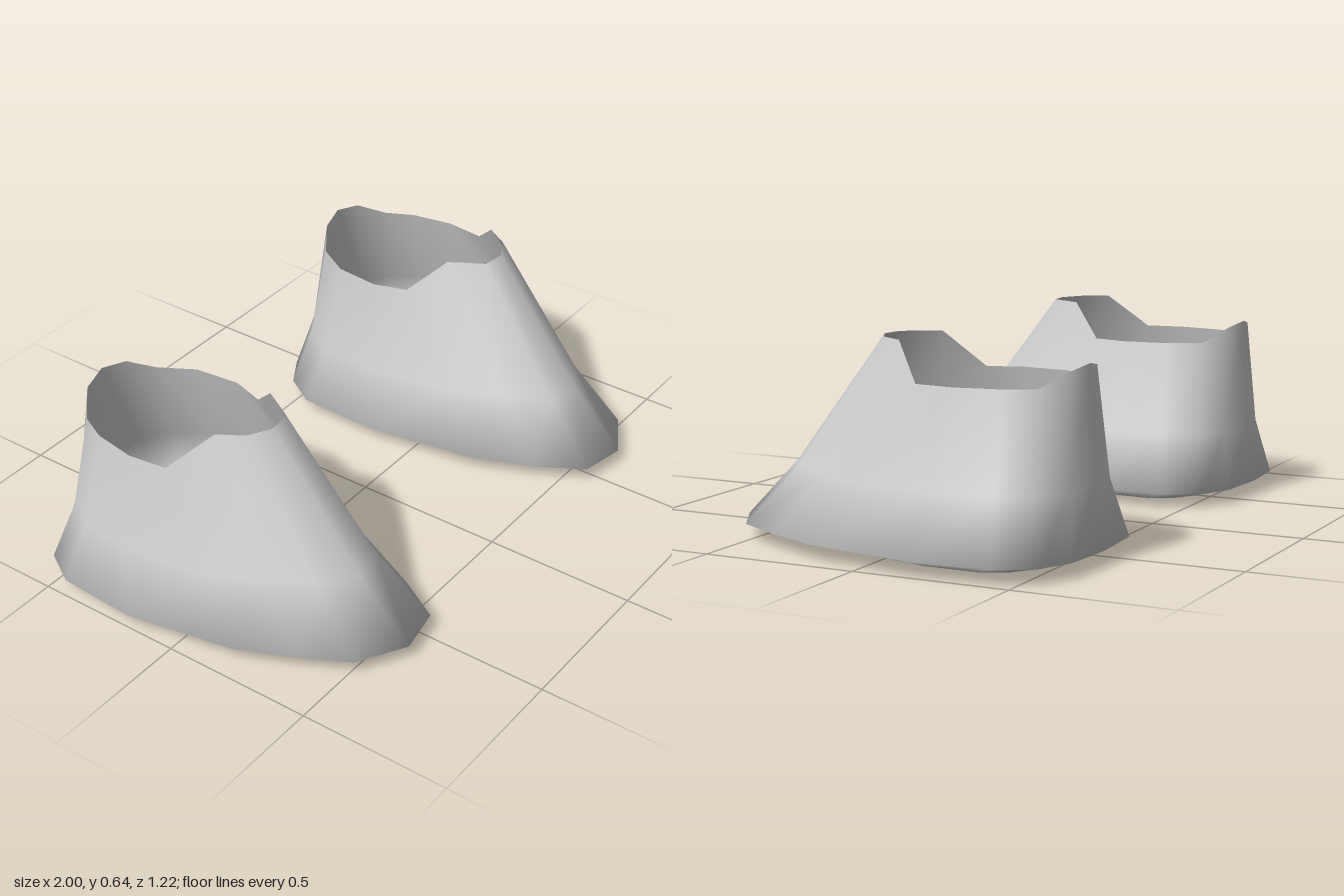
import * as THREE from 'three';

// Each row runs round the shoe from the toe: welt x, welt z, collar x, collar z, collar height
const OUTLINE = [
  [0, 0.605, 0, 0.11, 0.64],
  [0.155, 0.515, 0.075, 0.07, 0.64],
  [0.24, 0.36, 0.125, -0.01, 0.64],
  [0.32, 0.18, 0.225, -0.12, 0.53],
  [0.385, -0.17, 0.24, -0.25, 0.53],
  [0.37, -0.435, 0.215, -0.39, 0.53],
  [0.3, -0.55, 0.17, -0.48, 0.53],
  [0.19, -0.6, 0.09, -0.545, 0.575],
  [0, -0.615, 0, -0.565, 0.59],
  [-0.205, -0.6, -0.09, -0.545, 0.575],
  [-0.305, -0.54, -0.17, -0.49, 0.53],
  [-0.375, -0.43, -0.235, -0.38, 0.53],
  [-0.385, -0.15, -0.25, -0.23, 0.53],
  [-0.325, 0.225, -0.215, -0.12, 0.53],
  [-0.245, 0.42, -0.14, -0.01, 0.64],
  [-0.155, 0.575, -0.075, 0.1, 0.64],
];

// Cross-sections from the sole up to the collar
const SECTIONS = [
  ([x, z]) => [x * 0.65, 0.01 + z * 0.01, z * 0.65 - 0.05],
  ([x, z]) => [x, 0.05, z],
  ([x, z, cx, cz]) => [
    THREE.MathUtils.lerp(x, cx, 0.5),
    0.235,
    THREE.MathUtils.lerp(z, cz, z > 0 ? 0.37 : 0.7),
  ],
  ([, , cx, cz, h]) => [cx, h, cz],
];

function shoeGeometry(side) {
  const n = OUTLINE.length;
  // Reversing the mirrored outline keeps the faces pointing outward
  const outline = side > 0 ? OUTLINE : [...OUTLINE].reverse();
  const positions = [];
  const index = [];
  SECTIONS.forEach((section, s) => {
    outline.forEach((row, i) => {
      const [x, y, z] = section(row);
      positions.push(side * x, y, z);
      if (s === 0) return;
      const j = (i + 1) % n;
      const a = (s - 1) * n + i, b = (s - 1) * n + j;
      const c = s * n + j, d = s * n + i;
      index.push(a, b, c, a, c, d);
    });
  });

  // Slightly arched sole closing the bottom
  const centre = positions.length / 3;
  positions.push(0, 0.018, -0.05);
  for (let i = 0; i < n; i++) index.push(centre, (i + 1) % n, i);

  const geometry = new THREE.BufferGeometry();
  geometry.setAttribute('position', new THREE.Float32BufferAttribute(positions, 3));
  geometry.setIndex(index);
  geometry.computeVertexNormals();
  return geometry;
}

export function createModel() {
  const model = new THREE.Group();
  model.name = 'shoes';
  const material = new THREE.MeshStandardMaterial({ color: 0xcccccc, side: THREE.DoubleSide });
  for (const side of [1, -1]) {
    const shoe = new THREE.Mesh(shoeGeometry(side), material);
    shoe.name = side > 0 ? 'leftShoe' : 'rightShoe';
    shoe.position.x = side * 0.615;
    model.add(shoe);
  }
  return model;
}
